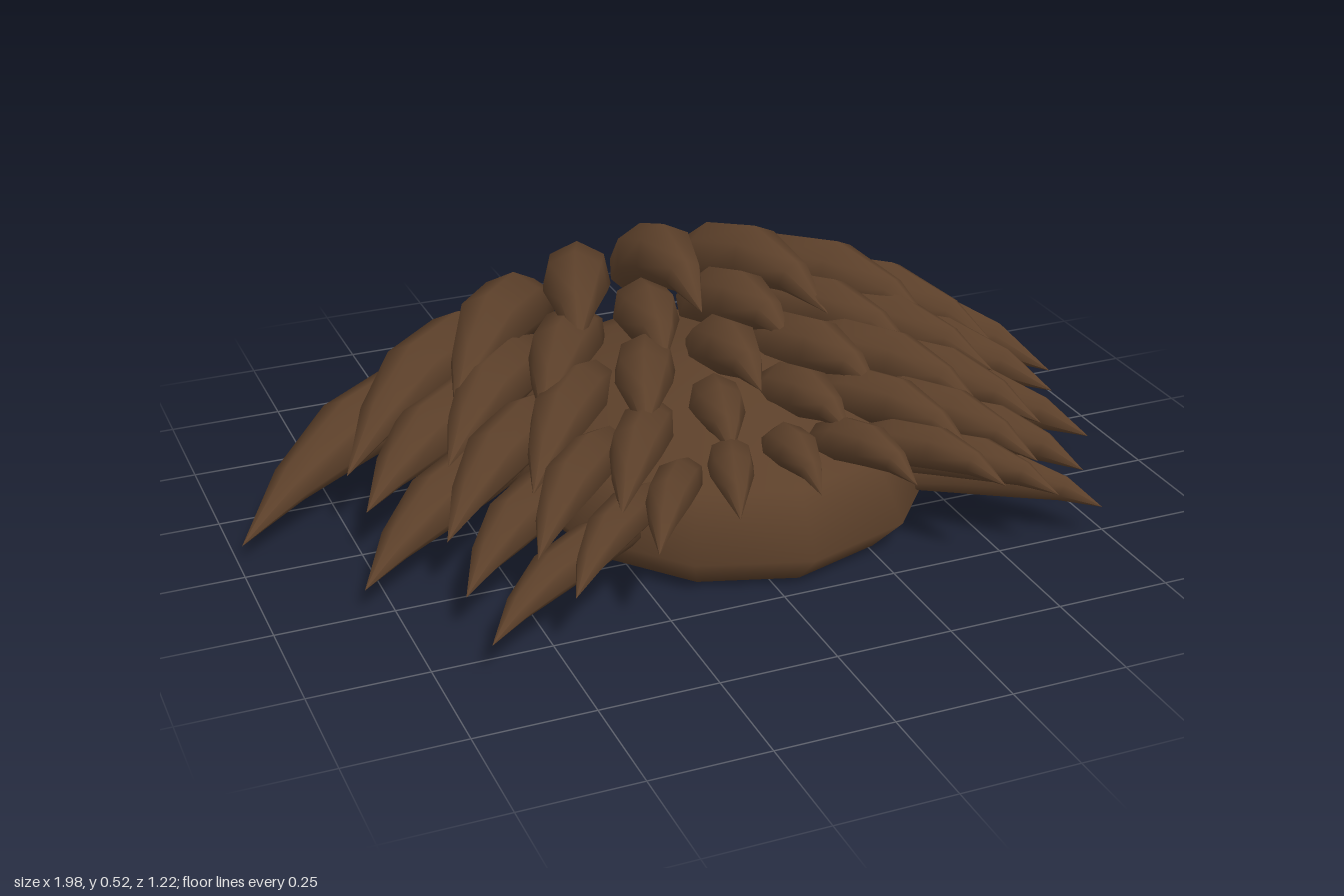
import * as THREE from 'three';

const CX = 0.06; // centre line of the dome and of the spike rows
const V = (x, y, z) => new THREE.Vector3(x, y, z);

// Each row: spike count, arc span, root arc (half width, base height, rise,
// z at sides and centre), spike radius, upward bend, five tips right to left
const ROWS = [
  { count: 9, span: 1, w: 0.42, y0: 0.14, h: 0.19, zs: -0.5, zc: -0.5, r: 0.077, bend: 0.17,
    tips: [[-0.99, 0.04, -0.06], [-0.52, 0.27, -0.05], [0.06, 0.39, -0.08], [0.62, 0.27, -0.03], [0.99, 0.06, -0.14]] },
  { count: 8, span: 0.875, w: 0.44, y0: 0.13, h: 0.19, zs: -0.3, zc: -0.28, r: 0.07, bend: 0.11,
    tips: [[-0.75, 0.13, 0.06], [-0.44, 0.27, 0.1], [0.06, 0.37, 0.06], [0.56, 0.27, 0.1], [0.87, 0.12, 0.07]] },
  { count: 9, span: 1, w: 0.42, y0: 0.13, h: 0.18, zs: -0.1, zc: -0.06, r: 0.065, bend: 0.1,
    tips: [[-0.81, 0.06, 0.25], [-0.46, 0.22, 0.28], [0.06, 0.34, 0.24], [0.57, 0.22, 0.28], [0.88, 0.07, 0.22]] },
  { count: 8, span: 0.875, w: 0.41, y0: 0.11, h: 0.17, zs: 0.12, zc: 0.13, r: 0.057, bend: 0.09,
    tips: [[-0.65, 0.1, 0.42], [-0.39, 0.21, 0.45], [0.06, 0.3, 0.38], [0.5, 0.21, 0.46], [0.75, 0.1, 0.41]] },
  { count: 9, span: 1, w: 0.33, y0: 0.12, h: 0.13, zs: 0.31, zc: 0.32, r: 0.047, bend: 0.08,
    tips: [[-0.65, 0.08, 0.58], [-0.31, 0.21, 0.59], [0.06, 0.24, 0.54], [0.44, 0.22, 0.61], [0.72, 0.08, 0.54]] },
];

// Bent spike: blunt root, swollen near the first third, pointed tip
function spikeGeometry(root, ctrl, tip, radius) {
  const curve = new THREE.QuadraticBezierCurve3(root, ctrl, tip);
  const stations = [[0, 0.001], [0, 0.78], [0.22, 1], [0.5, 0.95], [0.76, 0.55], [1, 0.001]];
  const sides = 7, pos = [], idx = [];
  stations.forEach(([t, s], j) => {
    const c = curve.getPoint(t), dir = curve.getTangent(t);
    const side = V(0, 1, 0).cross(dir).normalize();
    const up = dir.clone().cross(side);
    for (let i = 0; i < sides; i++) {
      const a = (i / sides) * Math.PI * 2 + Math.PI / 2;
      const p = c.clone()
        .addScaledVector(side, Math.cos(a) * s * radius)
        .addScaledVector(up, Math.sin(a) * s * radius);
      pos.push(p.x, p.y, p.z);
      if (j === stations.length - 1) continue;
      const k = j * sides + i, n = j * sides + (i + 1) % sides;
      idx.push(k, n, k + sides, n, n + sides, k + sides);
    }
  });
  const g = new THREE.BufferGeometry();
  g.setAttribute('position', new THREE.Float32BufferAttribute(pos, 3));
  g.setIndex(idx);
  g.computeVertexNormals();
  return g;
}

export function createModel() {
  const model = new THREE.Group();
  model.name = 'spikedShell';
  const brown = new THREE.MeshStandardMaterial({ color: 0x5c402a });
  brown.name = 'brown';

  // Domed body with a flat underside, stretched to an oval
  const profile = [new THREE.Vector2(0, 0), new THREE.Vector2(0.86, 0), new THREE.Vector2(1, 0.08)];
  for (let i = 1; i <= 3; i++) {
    const a = (i / 3) * Math.PI / 2;
    profile.push(new THREE.Vector2(i === 3 ? 0 : Math.cos(a), 0.08 + 0.25 * Math.sin(a)));
  }
  const body = new THREE.Mesh(new THREE.LatheGeometry(profile, 12), brown);
  body.name = 'body';
  body.scale.set(0.472, 1, 0.565);
  body.position.set(CX, 0, -0.045);
  model.add(body);

  // Overlapping, staggered rows of spikes fanned over the dome
  ROWS.forEach((row, n) => {
    const group = new THREE.Group();
    group.name = `spikeRow${n + 1}`;
    const tips = new THREE.CatmullRomCurve3(row.tips.map(p => V(...p)));
    for (let i = 0; i < row.count; i++) {
      const t = i / (row.count - 1);
      const s = row.span * (2 * t - 1), out = Math.abs(s);
      const root = V(CX + row.w * Math.sin(s * 1.2) / Math.sin(1.2), row.y0 + row.h * (1 - s * s),
        THREE.MathUtils.lerp(row.zc, row.zs, out));
      const tip = tips.getPoint(t);
      const ctrl = root.clone().lerp(tip, 0.48);
      ctrl.y += row.bend * (1 - 0.3 * out);
      ctrl.x += s * 0.05;
      const spike = new THREE.Mesh(spikeGeometry(root, ctrl, tip, row.r * (1 + 0.08 * out)), brown);
      spike.name = 'spike';
      group.add(spike);
    }
    model.add(group);
  });
  return model;
}
